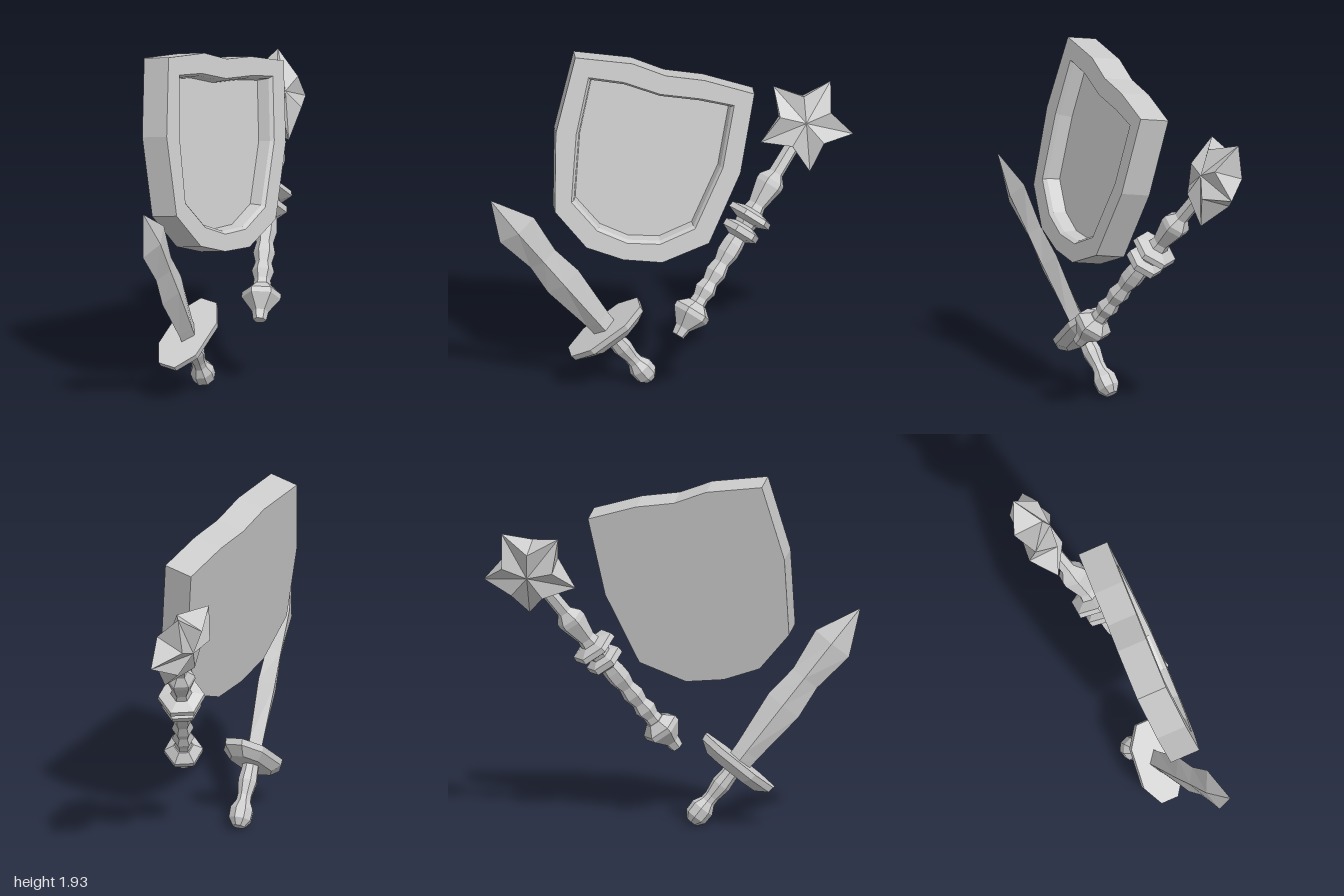
import * as THREE from 'three';

const material = new THREE.MeshStandardMaterial({ color: 0xcccccc, flatShading: true });
const V = (x, y, z) => new THREE.Vector3(x, y, z);

// Skin over closed rings of points (counter-clockwise seen from the last ring), capped at both ends
function loft(name, rings, startCentre, endCentre) {
  const pos = [];
  const tri = (...pts) => pts.forEach((p) => pos.push(p.x, p.y, p.z));
  const mean = (ring) => ring.reduce((s, p) => s.add(p), V(0, 0, 0)).divideScalar(ring.length);
  const n = rings[0].length;
  const first = rings[0], last = rings[rings.length - 1];
  const c0 = startCentre || mean(first), c1 = endCentre || mean(last);
  for (let i = 0; i < n; i++) {
    const j = (i + 1) % n;
    for (let r = 0; r + 1 < rings.length; r++) {
      const a = rings[r], b = rings[r + 1];
      tri(a[i], a[j], b[j]);
      tri(a[i], b[j], b[i]);
    }
    tri(c0, first[j], first[i]);
    tri(c1, last[i], last[j]);
  }
  const geometry = new THREE.BufferGeometry();
  geometry.setAttribute('position', new THREE.Float32BufferAttribute(pos, 3));
  geometry.computeVertexNormals();
  const mesh = new THREE.Mesh(geometry, material);
  mesh.name = name;
  return mesh;
}

// Elliptical ring around the y axis
function ring(y, rx, rz, sides) {
  return Array.from({ length: sides }, (_, i) => {
    const a = (i / sides) * Math.PI * 2;
    return V(Math.cos(a) * rx, y, -Math.sin(a) * rz);
  });
}

// Faceted turned part from [height, radius] pairs
const turned = (name, profile, sides) => loft(name, profile.map(([y, r]) => ring(y, r, r, sides)));

// Group whose y axis runs from one point towards another, with its x axis parallel to the xy plane
function along(name, from, to) {
  const group = new THREE.Group();
  group.name = name;
  const y = to.clone().sub(from).normalize();
  const x = V(y.y, -y.x, 0).normalize();
  const z = x.clone().cross(y);
  group.quaternion.setFromRotationMatrix(new THREE.Matrix4().makeBasis(x, y, z));
  group.position.copy(from);
  return group;
}

function createShield() {
  const tilt = THREE.MathUtils.degToRad(10), midX = -0.12, midY = 1.35;
  const outer = [[-0.53, 1.92], [-0.22, 1.88], [-0.04, 1.81], [0.17, 1.78], [0.44, 1.7], [0.36, 1.27],
    [0.185, 0.89], [-0.07, 0.79], [-0.28, 0.81], [-0.48, 0.88], [-0.65, 1.08], [-0.64, 1.51]].reverse();
  const inner = [[-0.46, 1.81], [-0.27, 1.78], [-0.07, 1.71], [0.15, 1.68], [0.33, 1.64], [0.265, 1.3],
    [0.11, 0.97], [-0.08, 0.89], [-0.26, 0.9], [-0.42, 0.97], [-0.56, 1.13], [-0.53, 1.5]].reverse();
  const flat = (pts, z, scale = 1) =>
    pts.map(([x, y]) => V((x - midX) * scale, ((y - midY) / Math.cos(tilt)) * scale, z));
  // back, front edge, rim, chamfer, recessed floor
  const shield = loft('shield', [flat(outer, -0.17), flat(outer, 0), flat(inner, 0),
    flat(inner, -0.02, 0.965), flat(inner, -0.09, 0.94)]);
  shield.rotation.x = -tilt;
  shield.position.set(midX, midY, 0.161);
  return shield;
}

function createSword() {
  const sword = along('sword', V(-0.16, 0.06, 0.01), V(-1, 1.17, 0.25));
  sword.add(turned('swordGrip', [[-0.068, 0.035], [-0.03, 0.064], [0.03, 0.066], [0.075, 0.042],
    [0.11, 0.04], [0.19, 0.054], [0.25, 0.048], [0.31, 0.045]], 8));

  // guard: long octagon plate, narrowing towards the grip
  const octagon = [[1, 0.42], [0.5, 1], [-0.5, 1], [-1, 0.42], [-1, -0.42], [-0.5, -1], [0.5, -1], [1, -0.42]];
  const plate = (y, w, d) => octagon.map(([x, z]) => V(x * w, y, -z * d));
  sword.add(loft('swordGuard', [plate(0.28, 0.165, 0.085), plate(0.325, 0.23, 0.12), plate(0.36, 0.235, 0.12)]));

  // blade: diamond section with a waved edge
  const blade = [[0.34, 0.066, 0.045], [0.42, 0.07, 0.045], [0.74, 0.104, 0.048], [0.93, 0.084, 0.045],
    [1.17, 0.116, 0.045], [1.41, 0.003, 0.003]];
  sword.add(loft('swordBlade', blade.map(([y, w, t]) => ring(y, w, t, 4))));
  return sword;
}

function createWand() {
  const wand = along('wand', V(0.02, 0.37, 0.26), V(0.75, 1.42, -0.2));
  wand.add(turned('wandPommel', [[-0.01, 0.036], [0.04, 0.045], [0.12, 0.106], [0.15, 0.106], [0.195, 0.055]], 6));
  wand.add(turned('wandGrip', [[0.18, 0.05], [0.23, 0.045], [0.28, 0.061], [0.33, 0.045], [0.39, 0.06],
    [0.45, 0.046], [0.51, 0.061], [0.57, 0.06], [0.64, 0.05]], 6));
  wand.add(turned('wandCollar', [[0.61, 0.055], [0.635, 0.108], [0.67, 0.108], [0.69, 0.06],
    [0.71, 0.065], [0.735, 0.13], [0.765, 0.125], [0.785, 0.06]], 6));
  wand.add(turned('wandNeck', [[0.77, 0.062], [0.82, 0.05], [0.945, 0.08], [0.975, 0.078],
    [1.02, 0.042], [1.25, 0.04]], 6));
  return wand;
}

// Star: sharp tips on the middle plane, thick at the notches
function createStar() {
  const h = 0.088;
  const side = (z) => Array.from({ length: 10 }, (_, i) => {
    const a = THREE.MathUtils.degToRad(-86 + i * 36);
    const tip = i % 2 === 0, r = tip ? 0.266 : 0.146;
    return V(Math.cos(a) * r, Math.sin(a) * r, tip ? 0 : z);
  });
  const star = loft('wandStar', [side(-h), side(h)], V(0, 0, -h), V(0, 0, h));
  star.rotation.x = THREE.MathUtils.degToRad(-20);
  star.position.set(0.735, 1.4, -0.2);
  return star;
}

export function createModel() {
  const model = new THREE.Group();
  model.name = 'shieldSwordAndWand';
  model.add(createShield(), createSword(), createWand(), createStar());
  return model;
}
